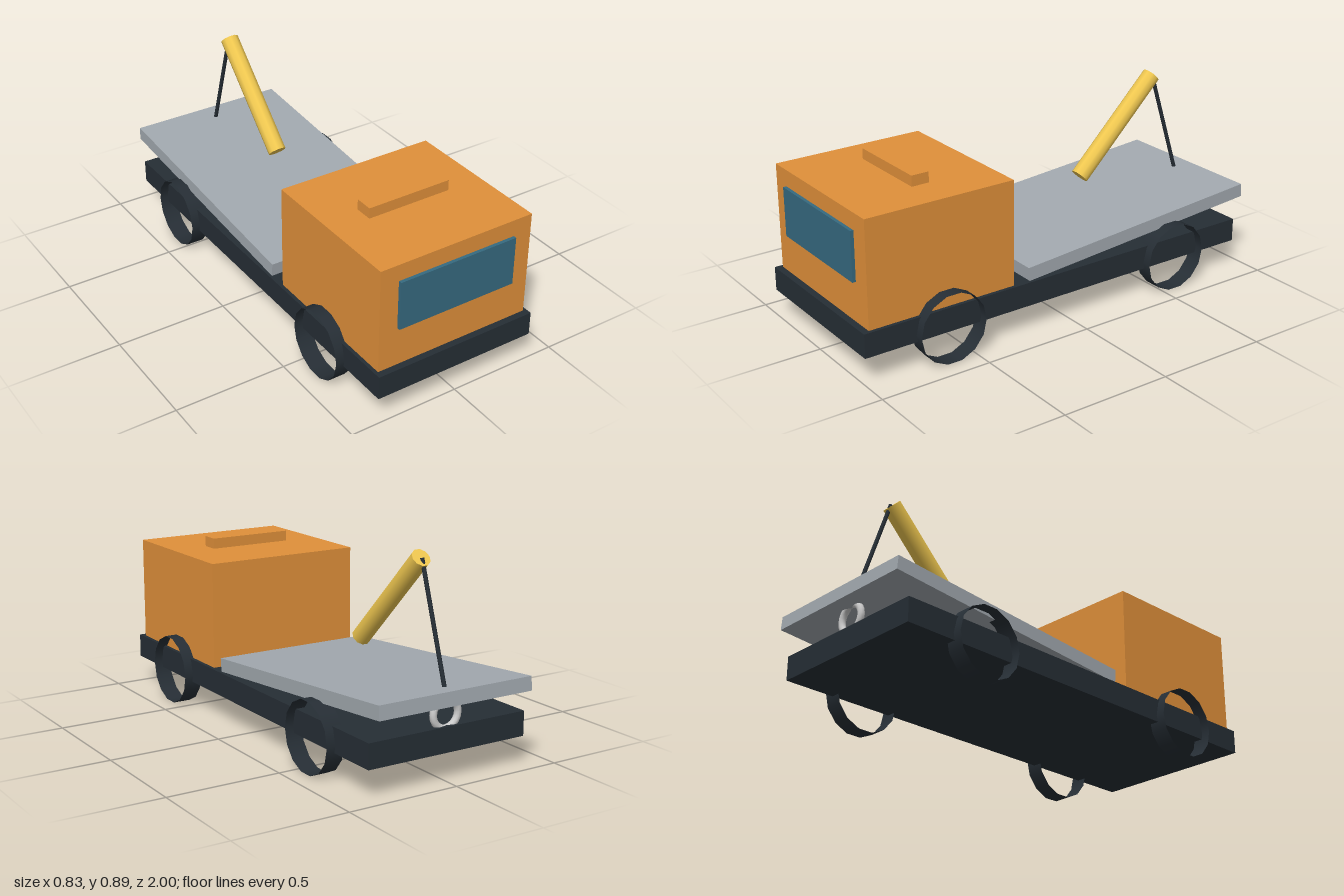
import * as THREE from 'three';

const mat = (color, extra = {}) => new THREE.MeshStandardMaterial({ color, ...extra });

export function createModel() {
  const truck = new THREE.Group();
  truck.name = 'towTruck';

  const orange = mat(0xe0903a);
  const dark = mat(0x262e35);
  const grey = mat(0xa2a9af);
  const yellow = mat(0xf0c850);
  const glass = mat(0x366a80);
  const steel = mat(0xcccccc);
  const tyre = mat(0x262e35, { side: THREE.DoubleSide });

  const add = (name, geometry, material, x, y, z) => {
    const mesh = new THREE.Mesh(geometry, material);
    mesh.name = name;
    mesh.position.set(x, y, z);
    truck.add(mesh);
    return mesh;
  };
  const box = (name, material, w, h, d, y, z) =>
    add(name, new THREE.BoxGeometry(w, h, d), material, 0, y, z);

  // Rod between two points in the centre plane, given as [y, z]
  const rod = (name, material, radius, sides, [y0, z0], [y1, z1]) => {
    const length = Math.hypot(y1 - y0, z1 - z0);
    const geometry = new THREE.CylinderGeometry(radius, radius, length, sides);
    if (sides % 4) geometry.rotateY(Math.PI / 2);
    const mesh = add(name, geometry, material, 0, (y0 + y1) / 2, (z0 + z1) / 2);
    mesh.rotation.x = Math.atan2(z1 - z0, y1 - y0);
  };

  // Chassis and cab
  box('chassis', dark, 0.756, 0.106, 1.945, 0.175, 0.0275);
  box('cab', orange, 0.724, 0.469, 0.69, 0.4625, 0.625);
  box('windscreen', glass, 0.554, 0.218, 0.03, 0.514, 0.97);
  box('lightBar', orange, 0.386, 0.047, 0.08, 0.7235, 0.615);

  // Tilted flat bed with its hinge ring
  box('bed', grey, 0.736, 0.06, 1.205, 0.308, -0.395).rotation.x = 0.08;
  add('hingeRing', new THREE.TorusGeometry(0.06, 0.015, 10, 20), steel, 0, 0.275, -0.92);

  // Boom and cable
  rod('boom', yellow, 0.041, 10, [0.457, -0.342], [0.859, -0.746]);
  rod('cable', dark, 0.009, 8, [0.37, -0.912], [0.858, -0.752]);

  // Wheels: thin open hoops
  const hoop = new THREE.CylinderGeometry(0.155, 0.155, 0.08, 14, 1, true);
  hoop.rotateZ(Math.PI / 2);
  for (const [side, x] of [['Left', 0.377], ['Right', -0.377]]) {
    add('frontWheel' + side, hoop, tyre, x, 0.151, 0.61);
    add('rearWheel' + side, hoop, tyre, x, 0.151, -0.565);
  }

  return truck;
}
